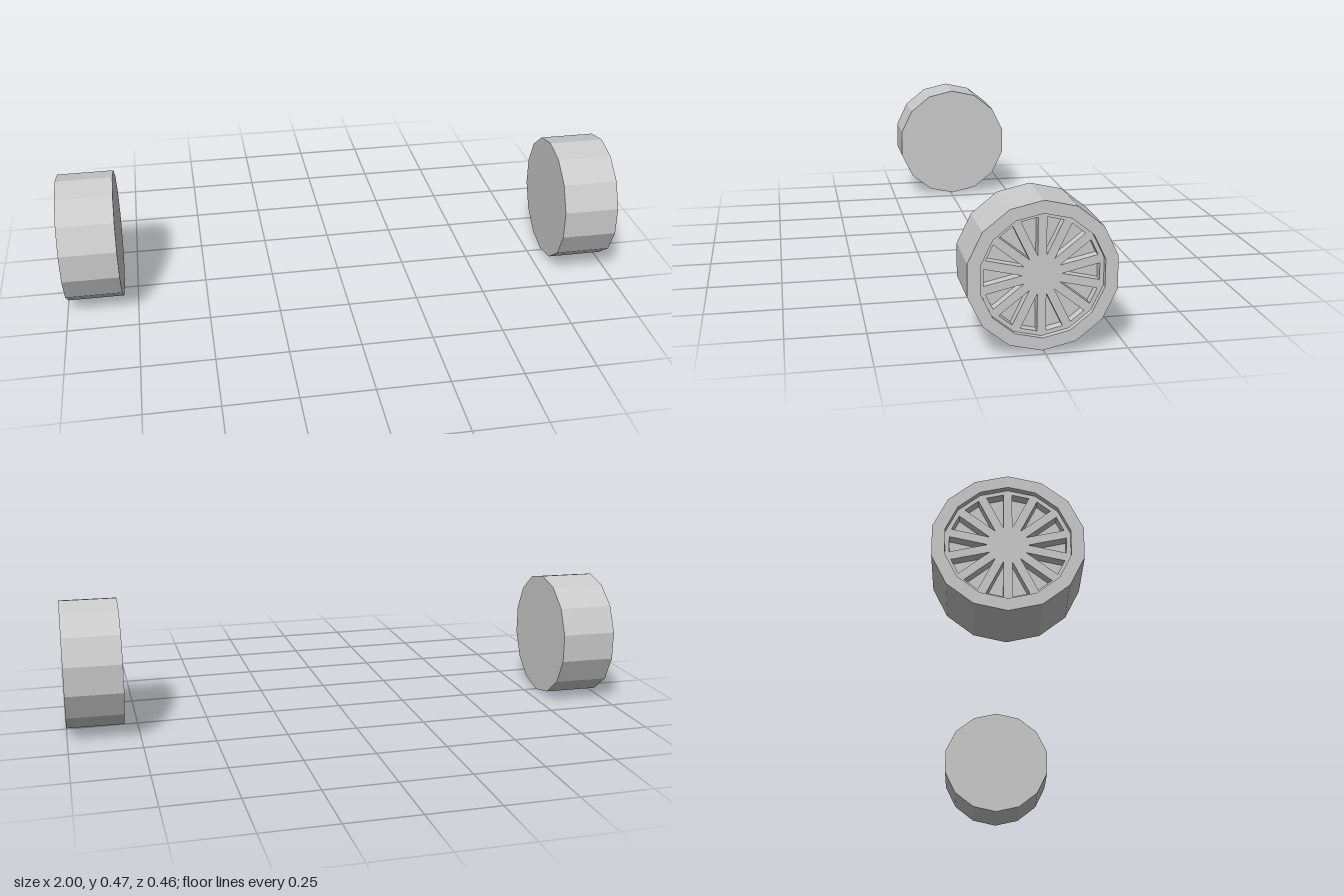
import * as THREE from 'three';

const SIDES = 14;
const STEP = (Math.PI * 2) / SIDES;
const R = 0.227;        // tyre radius
const RIM = 0.188;      // inner radius of the raised rim
const WIDTH = 0.198;
const FLOOR = 0.15;     // bottom of the pockets between the spokes
const PLATE = 0.18;     // face of the spoke plate

const material = new THREE.MeshStandardMaterial({ color: 0xcccccc, flatShading: true });

// Point at a radius along a counter-clockwise angle from the top, with a sideways offset
function polar(radius, angle, side = 0) {
  const s = Math.sin(angle), c = Math.cos(angle);
  return new THREE.Vector2(-radius * s - side * c, radius * c - side * s);
}

// Tyre: closed back, outer wall, raised rim and recessed floor
function tyreGeometry() {
  const profile = [[0, 0], [R, 0], [R, WIDTH], [RIM, WIDTH], [RIM, FLOOR], [0, FLOOR]]
    .map(([r, y]) => new THREE.Vector2(r, y));
  return new THREE.LatheGeometry(profile, SIDES).rotateX(Math.PI / 2);
}

// Spoke plate: polygon with a wedge-shaped opening between each pair of spokes
function spokeGeometry() {
  const outline = [];
  for (let i = 0; i < SIDES; i++) outline.push(polar(RIM, i * STEP));
  const shape = new THREE.Shape(outline);
  for (let i = 0; i < SIDES; i++) {
    const a = (i + 0.5) * STEP;
    shape.holes.push(new THREE.Path([
      polar(0.059, a), polar(0.171, a, 0.0255), polar(0.171, a, -0.0255),
    ]));
  }
  return new THREE.ExtrudeGeometry(shape, { depth: PLATE - FLOOR, bevelEnabled: false })
    .translate(0, 0, FLOOR);
}

export function createModel() {
  const model = new THREE.Group();
  model.name = 'wheelPair';
  const tyre = tyreGeometry();
  const spokes = spokeGeometry();

  // Shared axle line, very slightly turned and rolled
  const axle = new THREE.Group();
  axle.name = 'axleLine';
  axle.position.y = 0.2338;
  axle.rotation.set(0, -0.0095, 0.006);
  model.add(axle);

  // Each wheel's spoked face points away from the middle
  for (const [name, side] of [['leftWheel', 1], ['rightWheel', -1]]) {
    const wheel = new THREE.Group();
    wheel.name = name;
    const tyreMesh = new THREE.Mesh(tyre, material);
    tyreMesh.name = 'tyre';
    const spokeMesh = new THREE.Mesh(spokes, material);
    spokeMesh.name = 'spokes';
    wheel.add(tyreMesh, spokeMesh);
    wheel.rotation.y = side * Math.PI / 2;
    wheel.position.x = side * 0.8;
    axle.add(wheel);
  }
  return model;
}
